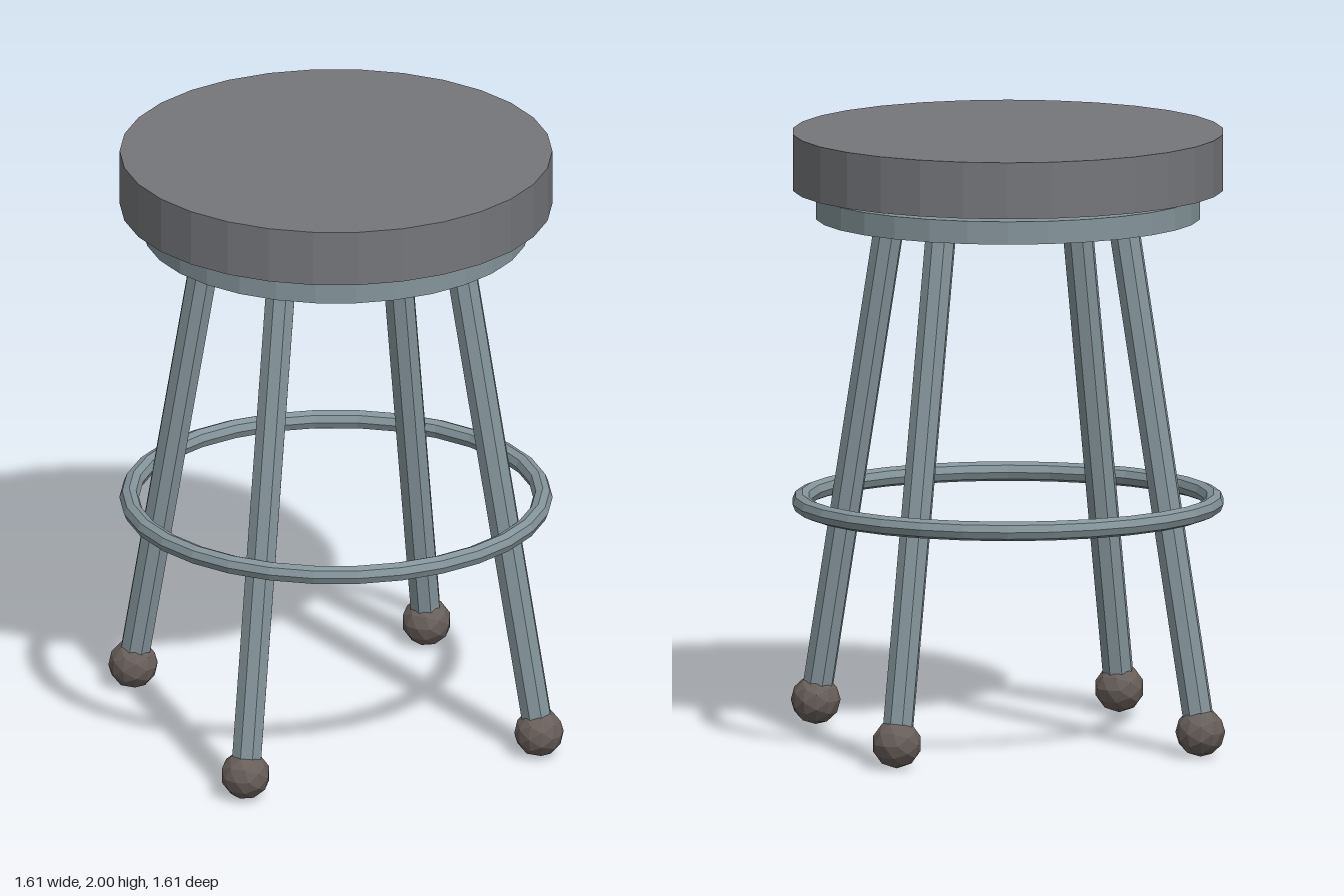
import * as THREE from 'three';

const mat = (color) => new THREE.MeshStandardMaterial({ color, flatShading: true });

export function createModel() {
  const stool = new THREE.Group();
  stool.name = 'stool';
  const padMat = mat(0x74767a);
  const metalMat = mat(0x84949a);
  const rubberMat = mat(0x685f5b);

  const add = (parent, name, geometry, material, x, y, z = 0) => {
    const mesh = new THREE.Mesh(geometry, material);
    mesh.name = name;
    mesh.position.set(x, y, z);
    parent.add(mesh);
    return mesh;
  };

  // Round disc between two heights, with a corner on the x axis
  const disc = (name, radius, bottom, top, material) =>
    add(stool, name,
      new THREE.CylinderGeometry(radius, radius, top - bottom, 30, 1, false, Math.PI / 2),
      material, 0, (top + bottom) / 2);

  // Seat cushion, with a narrow gap above its mounting plate
  disc('seat', 0.703, 1.815, 2, padMat);
  disc('seatPlate', 0.627, 1.72, 1.795, metalMat);

  // Foot ring
  const ring = add(stool, 'footRing', new THREE.TorusGeometry(0.672, 0.032, 8, 30), metalMat, 0, 0.785);
  ring.rotation.x = Math.PI / 2;

  // Four splayed legs with ball feet
  const top = new THREE.Vector3(0.43, 1.75, 0);
  const foot = new THREE.Vector3(0.722, 0.081, 0);
  const axis = top.clone().sub(foot);
  const middle = top.clone().add(foot).multiplyScalar(0.5);
  const legGeometry = new THREE.CylinderGeometry(0.051, 0.051, axis.length(), 8);
  const footGeometry = new THREE.IcosahedronGeometry(0.081, 1);
  for (let i = 0; i < 4; i++) {
    const assembly = new THREE.Group();
    assembly.name = 'legWithFoot' + (i + 1);
    assembly.rotation.y = i * Math.PI / 2;
    const leg = add(assembly, 'leg', legGeometry, metalMat, middle.x, middle.y);
    leg.rotation.z = Math.atan2(-axis.x, axis.y);
    add(assembly, 'foot', footGeometry, rubberMat, foot.x, foot.y);
    stool.add(assembly);
  }
  return stool;
}
